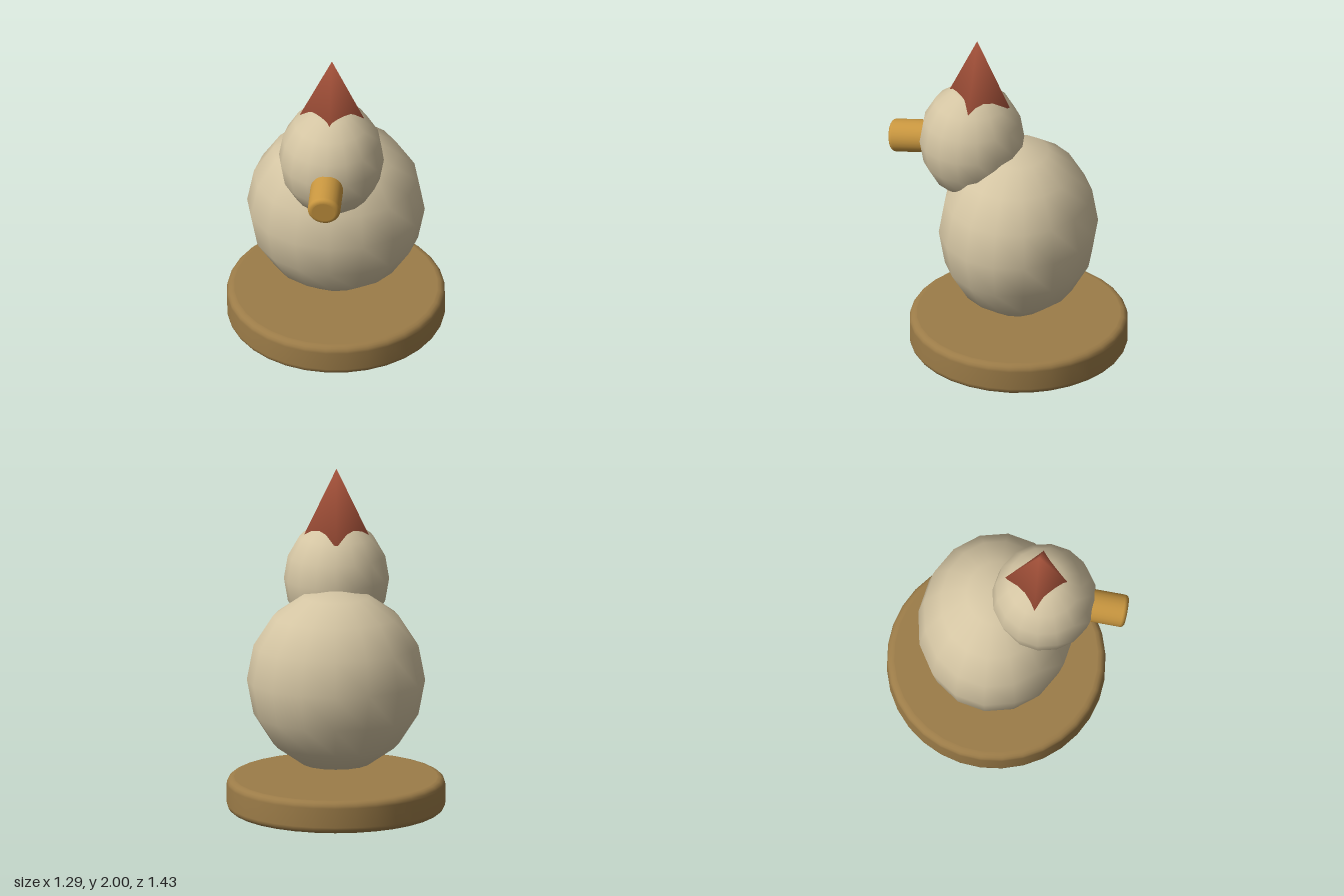
import * as THREE from 'three';
import { mergeVertices } from 'three/addons/utils/BufferGeometryUtils.js';

const material = (name, color) => {
  const m = new THREE.MeshStandardMaterial({ color });
  m.name = name;
  return m;
};

// Upright disc with rounded rims; short support loops keep the caps flat
function roundedDisc(radius, height, bevel, sides) {
  const pts = [new THREE.Vector2(0, 0), new THREE.Vector2(radius - bevel - 0.004, 0)];
  const steps = 4;
  for (const [cy, start] of [[bevel, -Math.PI / 2], [height - bevel, 0]]) {
    for (let i = 0; i <= steps; i++) {
      const a = start + (i / steps) * Math.PI / 2;
      pts.push(new THREE.Vector2(radius - bevel + bevel * Math.cos(a), cy + bevel * Math.sin(a)));
    }
  }
  pts.push(new THREE.Vector2(radius - bevel - 0.004, height), new THREE.Vector2(0, height));
  return new THREE.LatheGeometry(pts, sides);
}

export function createModel() {
  const group = new THREE.Group();
  group.name = 'birdOnStand';
  const cream = material('cream', 0xd4c5a3);
  const wood = material('wood', 0x9c7c48);
  const ochre = material('ochre', 0xc8963f);
  const red = material('red', 0xa6523a);

  const add = (name, geometry, mat, x, y, z) => {
    const mesh = new THREE.Mesh(geometry, mat);
    mesh.name = name;
    mesh.position.set(x, y, z);
    group.add(mesh);
    return mesh;
  };

  // Round stand
  add('stand', roundedDisc(0.643, 0.195, 0.04, 32), wood, 0, 0.003, -0.072);

  // Egg-shaped body and head
  const ball = new THREE.SphereGeometry(1, 16, 8);
  add('body', ball, cream, 0, 0.785, -0.07).scale.set(0.525, 0.545, 0.465);
  add('head', ball, cream, 0, 1.33, 0.215).scale.set(0.31, 0.357, 0.31);

  // Stubby beak, dipping slightly forward
  const beak = add('beak', roundedDisc(0.097, 0.32, 0.026, 24), ochre, 0, 1.318, 0.386);
  beak.rotation.x = Math.PI / 2 + 0.13;

  // Four-sided crest, smoothed across all its edges
  let cone = new THREE.ConeGeometry(0.2, 0.42, 4);
  cone.deleteAttribute('uv');
  cone.deleteAttribute('normal');
  cone = mergeVertices(cone);
  cone.computeVertexNormals();
  add('crest', cone, red, 0, 1.79, 0.183);

  return group;
}
